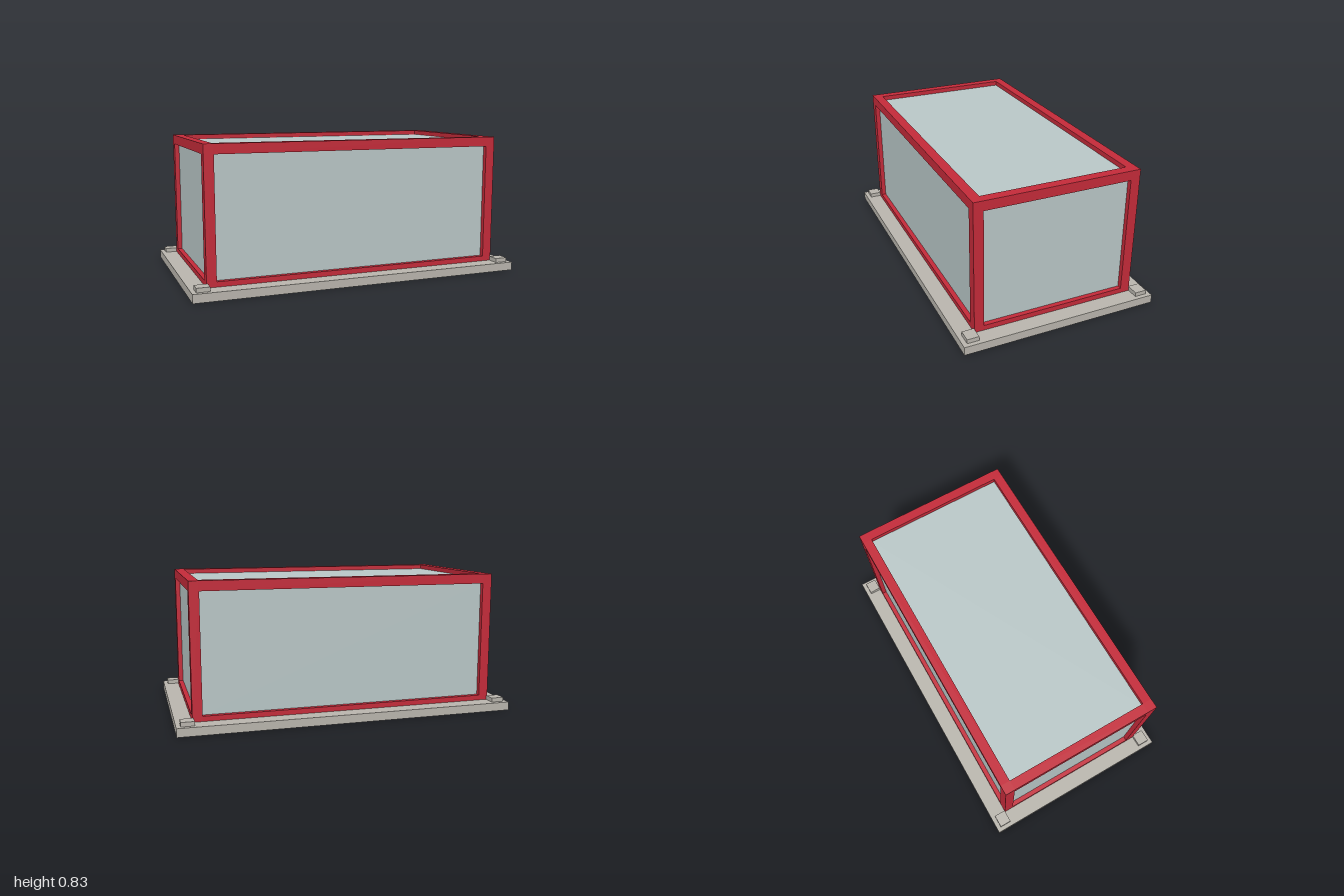
import * as THREE from 'three';

const mat = (name, color) => {
  const m = new THREE.MeshStandardMaterial({ color });
  m.name = name;
  return m;
};

export function createModel() {
  const stone = mat('warm grey base', 0xbab6ae);
  const red = mat('red frame', 0xc52b3a);
  const glass = mat('pale glass', 0xbac8c8);
  const model = new THREE.Group();
  model.name = 'glassCase';

  // Box given by its size and centre
  const box = (name, material, w, h, d, x, y, z) => {
    const mesh = new THREE.Mesh(new THREE.BoxGeometry(w, h, d), material);
    mesh.name = name;
    mesh.position.set(x, y, z);
    model.add(mesh);
  };

  const baseTop = 0.05, top = 0.83;
  const hx = 0.905, hz = 0.49;      // outer half sizes of the frame
  const t = 0.057;                  // beam thickness
  const sill = 0.03;                // visible height of the lower rails
  const height = top - baseTop;
  const midY = (top + baseTop) / 2;
  const ix = hx - t, iz = hz - t;   // inner half sizes

  // Base slab
  box('base', stone, 2, baseTop, 1.174, 0, baseTop / 2, 0);

  // Corner pads and posts
  for (const sx of [-1, 1]) for (const sz of [-1, 1]) {
    box('cornerPad', stone, 0.076, 0.025, 0.07, sx * 0.937, baseTop + 0.0125, sz * 0.526);
    box('cornerPost', red, t, height, t, sx * (hx - t / 2), midY, sz * (hz - t / 2));
  }

  // Top and bottom rails between the posts
  for (const s of [-1, 1]) {
    for (const [h, y, label] of [[t, top - t / 2, 'top'], [sill, baseTop + sill / 2, 'bottom']]) {
      box(label + 'LongRail', red, 2 * ix, h, t, 0, y, s * (hz - t / 2));
      box(label + 'ShortRail', red, t, h, 2 * iz, s * (hx - t / 2), y, 0);
    }
  }

  // Glass panes, set halfway into the beams
  const g = 0.006, recess = 0.028;
  const paneH = top - t - baseTop - sill;
  const paneY = baseTop + sill + paneH / 2;
  for (const s of [-1, 1]) {
    box('longPane', glass, 2 * ix, paneH, g, 0, paneY, s * (hz - recess - g / 2));
    box('endPane', glass, g, paneH, 2 * iz, s * (hx - recess - g / 2), paneY, 0);
  }
  box('roofPane', glass, 2 * ix, g, 2 * iz, 0, top - recess - g / 2, 0);

  return model;
}
